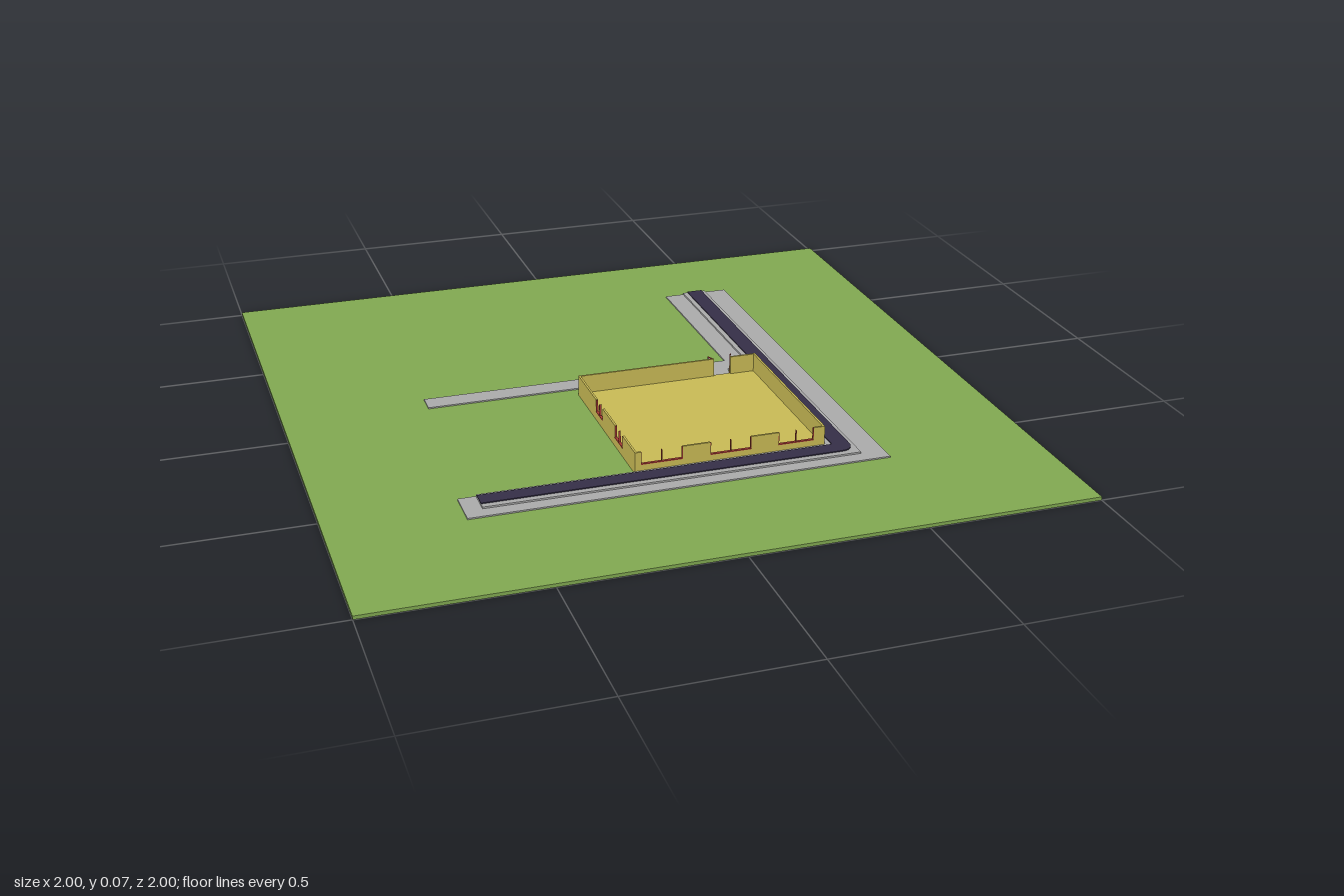
import * as THREE from 'three';

export function createModel() {
  const root = new THREE.Group();
  root.name = 'roadsideLot';
  const mat = (name, color) => {
    const m = new THREE.MeshStandardMaterial({ color });
    m.name = name;
    return m;
  };
  const grass = mat('grass', 0x82aa52), stone = mat('paving', 0xacacac), tar = mat('asphalt', 0x362f48);
  const ochre = mat('ochreWall', 0xcabc56), red = mat('redTrim', 0xa83c34), white = mat('doorWhite', 0xf2f2f2);

  // Box given by its minimum and maximum corners
  function box(name, m, x0, x1, y0, y1, z0, z1, parent = root) {
    const mesh = new THREE.Mesh(new THREE.BoxGeometry(x1 - x0, y1 - y0, z1 - z0), m);
    mesh.position.set((x0 + x1) / 2, (y0 + y1) / 2, (z0 + z1) / 2);
    mesh.name = name;
    parent.add(mesh);
    return mesh;
  }

  // Flat outline in x and z, extruded between two heights
  function slab(name, m, shape, y0, y1) {
    const geo = new THREE.ExtrudeGeometry(shape, { depth: y1 - y0, bevelEnabled: false, curveSegments: 6 });
    geo.rotateX(-Math.PI / 2);
    const mesh = new THREE.Mesh(geo, m);
    mesh.position.y = y0;
    mesh.name = name;
    root.add(mesh);
  }
  const outline = pts => new THREE.Shape(pts.map(([x, z]) => new THREE.Vector2(x, -z)));

  box('lawn', grass, -1, 1, 0, 0.01, -1, 1);

  // Pavements along the road and behind the building
  slab('pavement', stone, outline([
    [-0.63, 0.5], [-0.63, 0.615], [0.565, 0.615], [0.565, -0.705], [0.36, -0.705], [0.36, -0.145],
    [-0.58, -0.145], [-0.58, -0.083], [0.42, -0.083], [0.42, 0.5],
  ]), 0.009, 0.014);

  // Raised road bed with its kerbs
  slab('roadBed', stone, outline([
    [-0.58, 0.5], [-0.58, 0.575], [0.495, 0.575], [0.495, -0.705], [0.42, -0.705], [0.42, 0.5],
  ]), 0.013, 0.019);

  // Dark carriageway with a rounded outer corner
  const road = new THREE.Shape();
  road.moveTo(-0.58, -0.51);
  road.lineTo(-0.58, -0.557);
  road.lineTo(0.445, -0.557);
  road.quadraticCurveTo(0.484, -0.557, 0.484, -0.515);
  road.lineTo(0.484, 0.705);
  road.lineTo(0.435, 0.705);
  road.lineTo(0.435, -0.51);
  road.closePath();
  slab('carriageway', tar, road, 0.018, 0.022);

  // Roofless building
  const X0 = -0.137, X1 = 0.418, Z0 = -0.043, Z1 = 0.497, BASE = 0.009, TOP = 0.073, T = 0.006, SILL = 0.036;
  const house = new THREE.Group();
  house.name = 'building';
  root.add(house);
  box('floor', ochre, X0, X1, BASE, 0.018, Z0, Z1, house);

  // Wall along x or z, with openings [start, end, sill height] cut down from the top
  function wall(name, alongX, a, b, c0, c1, openings) {
    const part = (n, m, s, e, y0, y1, grow = 0) => alongX
      ? box(n, m, s, e, y0, y1, c0 - grow, c1 + grow, house)
      : box(n, m, c0 - grow, c1 + grow, y0, y1, s, e, house);
    let at = a;
    for (const [s, e, sill] of openings) {
      part(name, ochre, at, s, BASE, TOP);
      if (sill > 0.02) {
        part(name, ochre, s, e, BASE, sill);
        part('windowSill', red, s, e, sill - 0.001, sill + 0.002, 0.001);
        const mid = (s + e) / 2;
        for (const p of [s, mid - 0.001, e - 0.002]) part('windowPost', red, p, p + 0.002, sill, TOP - 0.001);
      }
      at = e;
    }
    part(name, ochre, at, b, BASE, TOP);
  }
  wall('frontWall', true, X0, X1, Z1 - T, Z1, [[-0.12, 0, SILL], [0.08, 0.2, SILL], [0.28, 0.385, SILL]]);
  wall('backWall', true, X0, X1, Z0, Z0 + T, [[0.285, 0.338, 0.018]]);
  wall('leftWall', false, Z0 + T, Z1 - T, X1 - T, X1, []);
  wall('rightWall', false, Z0 + T, Z1 - T, X0, X0 + T, [[0.135, 0.2, SILL], [0.315, 0.385, SILL]]);

  // Doorstep and the two open door leaves
  slab('doorstep', stone, outline([[0.275, -0.084], [0.285, Z0], [0.338, Z0], [0.348, -0.084]]), 0.009, 0.015);
  for (const side of [-1, 1]) {
    const leaf = new THREE.Group();
    leaf.name = 'doorLeaf';
    leaf.position.set(0.3115 + side * 0.0265, 0, Z0);
    leaf.rotation.y = -side * 0.4;
    box('doorPanel', white, -0.001, 0.001, 0.018, 0.069, -0.021, -0.003, leaf);
    box('hingePost', red, -0.0015, 0.0015, 0.015, 0.07, -0.004, 0, leaf);
    box('outerPost', tar, -0.0015, 0.0015, 0.015, 0.07, -0.024, -0.021, leaf);
    box('topRail', red, -0.0015, 0.0015, 0.068, 0.071, -0.024, 0, leaf);
    house.add(leaf);
  }
  return root;
}
